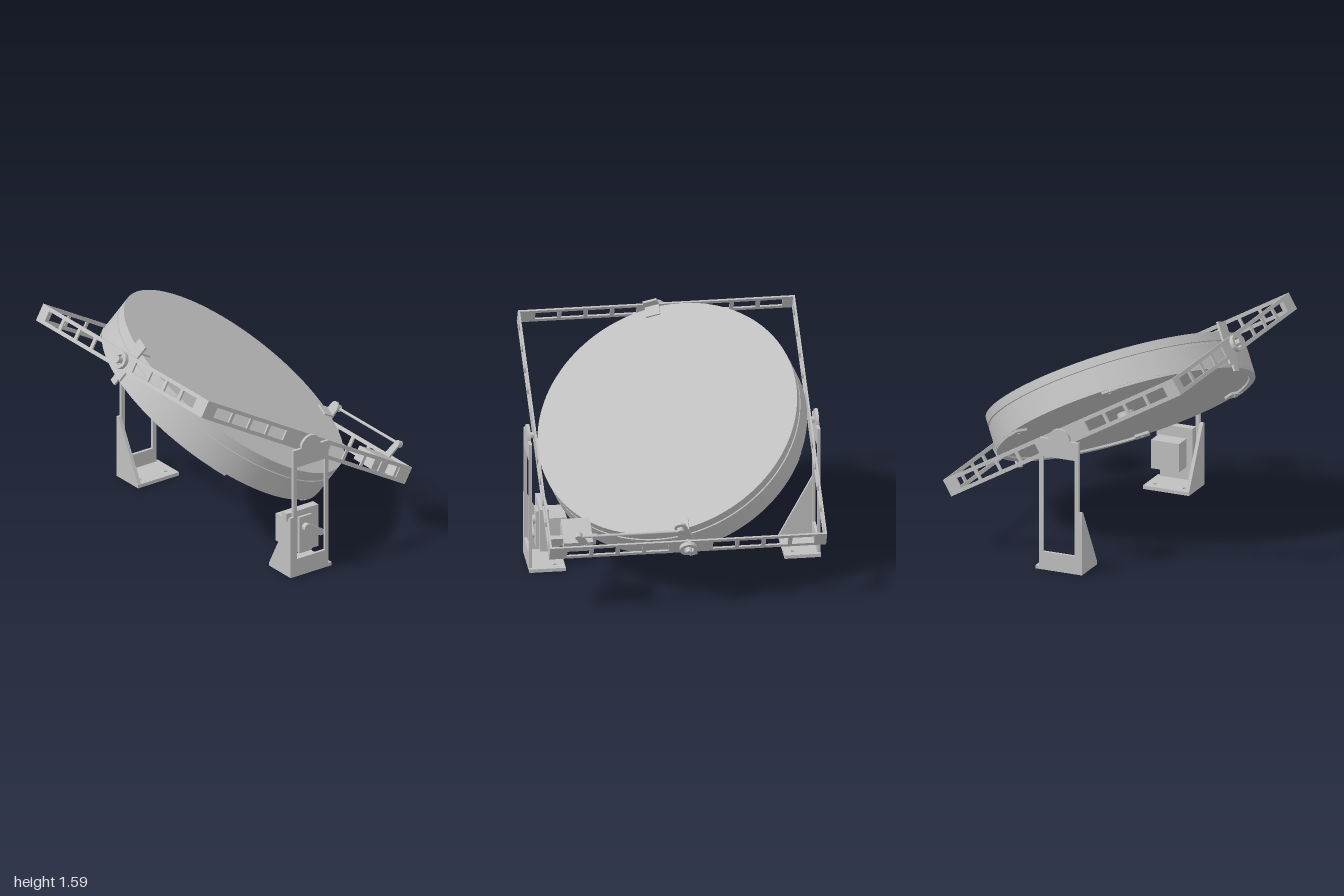
import * as THREE from 'three';
import { toCreasedNormals } from 'three/addons/utils/BufferGeometryUtils.js';

const grey = new THREE.MeshStandardMaterial({ color: 0xc0c0c0 });
grey.name = 'light grey';

function add(parent, name, geometry, x = 0, y = 0, z = 0) {
  const mesh = new THREE.Mesh(geometry, grey);
  mesh.name = name;
  mesh.position.set(x, y, z);
  parent.add(mesh);
  return mesh;
}

function group(parent, name) {
  const g = new THREE.Group();
  g.name = name;
  parent.add(g);
  return g;
}

// Box given by its two corners
function box(parent, name, x0, x1, y0, y1, z0, z1) {
  return add(parent, name, new THREE.BoxGeometry(x1 - x0, y1 - y0, z1 - z0),
    (x0 + x1) / 2, (y0 + y1) / 2, (z0 + z1) / 2);
}

// Cylinder along x or z
function rod(parent, name, axis, r, length, x, y, z) {
  const g = toCreasedNormals(new THREE.CylinderGeometry(r, r, length, 32), 0.6);
  if (axis === 'x') g.rotateZ(Math.PI / 2);
  if (axis === 'z') g.rotateX(Math.PI / 2);
  return add(parent, name, g, x, y, z);
}

function rectPath(Type, x0, x1, y0, y1) {
  const p = new Type();
  p.moveTo(x0, y0).lineTo(x1, y0).lineTo(x1, y1).lineTo(x0, y1).closePath();
  return p;
}

function extrude(shape, depth) {
  const g = new THREE.ExtrudeGeometry(shape, { depth, bevelEnabled: false, curveSegments: 24 });
  return toCreasedNormals(g.translate(0, 0, -depth / 2), 0.5);
}

function circleHole(x, y, r) {
  const p = new THREE.Path();
  p.absarc(x, y, r, 0, Math.PI * 2, true);
  return p;
}

// Thin bar pierced by a row of windows
function windowBar(length, centres) {
  const shape = rectPath(THREE.Shape, -length / 2, length / 2, -0.063, 0.063);
  for (const c of centres) shape.holes.push(rectPath(THREE.Path, c - 0.076, c + 0.076, -0.037, 0.037));
  return extrude(shape, 0.013);
}

// Flat round-ended lever between two points in the xy plane
function lever(parent, name, x0, y0, x1, y1, r, depth, z) {
  const a = Math.atan2(y1 - y0, x1 - x0);
  const s = new THREE.Shape();
  s.absarc(x0, y0, r, a + Math.PI / 2, a + Math.PI * 1.5, false);
  s.absarc(x1, y1, r * 0.8, a - Math.PI / 2, a + Math.PI / 2, false);
  s.closePath();
  return add(parent, name, extrude(s, depth), 0, 0, z);
}

function buildStand(parent, s) {
  const stand = group(parent, s > 0 ? 'leftStand' : 'rightStand');
  // Upright with a rounded ear and a tall window
  const post = new THREE.Shape();
  post.moveTo(-0.133, 0).lineTo(0.163, 0).lineTo(0.163, 0.95).lineTo(0.095, 0.95);
  post.absarc(0.015, 0.95, 0.08, 0, Math.PI, false);
  post.lineTo(-0.133, 0.95).closePath();
  post.holes.push(rectPath(THREE.Path, -0.104, 0.133, 0.13, 0.82));
  add(stand, 'upright', extrude(post, 0.022).rotateY(-Math.PI / 2), s * 0.989, 0, 0);

  // Foot plate with screw holes
  const foot = rectPath(THREE.Shape, -0.125, 0.125, -0.173, 0.173);
  for (const z of [-0.11, 0.11]) foot.holes.push(circleHole(-s * 0.06, z, 0.013));
  add(stand, 'footPlate', extrude(foot, 0.025).rotateX(Math.PI / 2), s * 0.875, 0.0125, 0.015);

  // Triangular gusset on the front edge
  const tri = new THREE.Shape();
  tri.moveTo(s, 0.025).lineTo(s * 0.752, 0.025).lineTo(s * 0.98, 0.45).lineTo(s, 0.45).closePath();
  add(stand, 'gusset', extrude(tri, 0.025), 0, 0, 0.175);

  // Pivot pin and bearing
  rod(stand, 'pivotPin', 'x', 0.02, 0.06, s * 0.968, 0.955, 0.015);
  rod(stand, 'bearing', 'x', 0.042, 0.014, s * 0.991, 0.955, 0.015);
}

function buildStandMotor(parent) {
  const motor = group(parent, 'standMotor');
  box(motor, 'motorBody', 0.735, 0.87, 0.165, 0.37, -0.09, 0.12);
  box(motor, 'motorMount', 0.86, 0.92, 0.13, 0.445, -0.104, 0.163);
  box(motor, 'motorFlange', 0.92, 0.94, 0.13, 0.40, -0.035, 0.07);
  rod(motor, 'motorShaft', 'x', 0.03, 0.04, 0.955, 0.32, 0.02);
  const horn = lever(motor, 'motorHorn', -0.02, 0.32, 0.09, 0.26, 0.03, 0.014, 0);
  horn.rotation.y = Math.PI / 2;
  horn.position.x = 0.968;
}

function buildDisc(parent) {
  const disc = group(parent, 'tiltingDisc');
  disc.rotation.z = -THREE.MathUtils.degToRad(20);
  // Drum with a shallow groove around the rim
  const profile = [[0, -0.13], [0.92, -0.13], [0.92, 0.035], [0.912, 0.038], [0.912, 0.05],
    [0.92, 0.053], [0.92, 0.115], [0, 0.115]].map(([x, y]) => new THREE.Vector2(x, y));
  add(disc, 'drum', toCreasedNormals(new THREE.LatheGeometry(profile, 128), 0.4));
  const peg = add(disc, 'centrePeg', toCreasedNormals(new THREE.CylinderGeometry(0.06, 0.06, 0.05, 32), 0.6));
  peg.position.y = -0.15;

  // Raised arcs and four pads under the drum
  const a0 = THREE.MathUtils.degToRad(27);
  for (const side of [0, Math.PI]) {
    const arc = new THREE.Shape();
    arc.absarc(0, 0, 0.918, side + a0, side + Math.PI - a0, false);
    arc.absarc(0, 0, 0.875, side + Math.PI - a0, side + a0, true);
    arc.closePath();
    add(disc, 'undersideArc', extrude(arc, 0.016).rotateX(Math.PI / 2), 0, -0.137, 0);
    for (const a of [a0, Math.PI - a0]) {
      const pad = rectPath(THREE.Shape, -0.045, 0.045, -0.05, 0.05);
      pad.holes.push(circleHole(0, 0, 0.012));
      const t = side + a;
      const mesh = add(disc, 'undersidePad', extrude(pad, 0.018).rotateX(Math.PI / 2),
        0.868 * Math.cos(t), -0.139, 0.868 * Math.sin(t));
      mesh.rotation.y = -t;
    }
  }

  // Clamp plates carrying the disc at the front and back
  for (const s of [1, -1]) {
    const clamp = group(disc, s > 0 ? 'frontClamp' : 'backClamp');
    const z = s * 0.937;
    if (s > 0) box(clamp, 'upperTab', -0.05, 0.05, 0, 0.18, z - 0.008, z + 0.008);
    else lever(clamp, 'tiltLever', 0, 0, 0, 0.17, 0.05, 0.016, z);
    box(clamp, 'lowerTab', -0.05, 0.05, -0.13, 0, z - 0.008, z + 0.008);
    box(clamp, 'lowerTongue', -0.02, 0.035, -0.18, -0.13, z - 0.008, z + 0.008);
    box(clamp, 'upperLip', -0.05, 0.05, 0.115, 0.127, s > 0 ? 0.85 : -0.94, s > 0 ? 0.94 : -0.85);
    rod(clamp, 'hubShaft', 'z', 0.022, 0.12, 0, 0, s * 0.985);
  }
}

export function createModel() {
  const model = new THREE.Group();
  model.name = 'gimbalPlatform';
  for (const s of [1, -1]) buildStand(model, s);
  buildStandMotor(model);

  // Tilted rectangular frame
  const frame = group(model, 'tiltingFrame');
  frame.position.set(0, 0.955, 0.015);
  frame.rotation.x = -Math.PI / 6;
  const across = [], along = [];
  for (let i = 0; i < 4; i++) {
    across.push(-0.79 + i * 0.181, 0.21 + i * 0.181);
    along.push(0.29 + i * 0.175, -0.29 - i * 0.175);
  }
  for (const s of [1, -1]) {
    add(frame, s > 0 ? 'frontBar' : 'backBar', windowBar(1.9, across), 0, 0, s * 0.985);
    add(frame, s > 0 ? 'leftBar' : 'rightBar', windowBar(1.96, along).rotateY(Math.PI / 2), s * 0.943, 0, 0);
    // Hub ring outside the bar
    const ring = new THREE.Shape();
    ring.absarc(0, 0, 0.06, 0, Math.PI * 2, false);
    ring.holes.push(circleHole(0, 0, 0.036));
    add(frame, 'hubRing', extrude(ring, 0.03), 0, 0, s * 1.005);
  }
  buildDisc(frame);

  // Motor on the back bar with its push rod
  const drive = group(frame, 'frameMotor');
  box(drive, 'motorBody', 0.65, 0.85, -0.05, 0.05, -0.945, -0.74);
  box(drive, 'motorFlange', 0.62, 0.94, -0.045, 0.045, -0.9, -0.87);
  rod(drive, 'motorShaft', 'z', 0.028, 0.03, 0.7, 0.02, -0.95);
  lever(drive, 'motorHorn', 0.7, 0.02, 0.76, 0.16, 0.03, 0.014, -0.955);
  rod(drive, 'pushRod', 'x', 0.01, 0.7, 0.41, 0.16, -0.972);
  for (const x of [0.06, 0.76]) rod(drive, 'rodEnd', 'z', 0.024, 0.03, x, 0.16, -0.968);
  return model;
}
